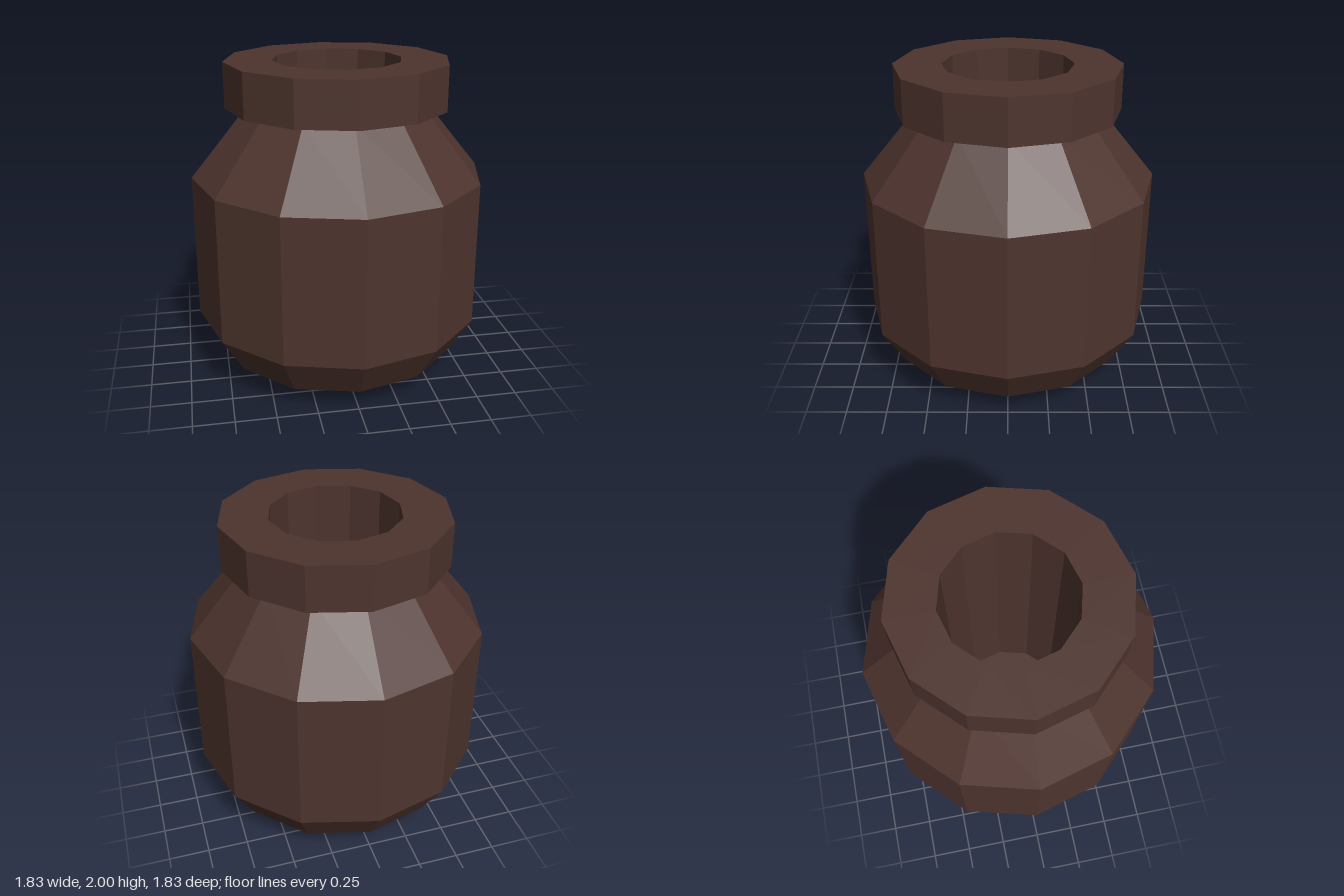
import * as THREE from 'three';

const SIDES = 12;

export function createModel() {
  const group = new THREE.Group();
  group.name = 'jar';
  const clay = new THREE.MeshStandardMaterial({ color: 0x4e342e, flatShading: true });

  // Revolves a [radius, height] profile into a faceted part
  const addLathe = (name, profile) => {
    const points = profile.map(([r, y]) => new THREE.Vector2(r, y));
    const mesh = new THREE.Mesh(new THREE.LatheGeometry(points, SIDES), clay);
    mesh.name = name;
    group.add(mesh);
  };

  // Outer body: base, tapered foot, straight wall, sloping shoulder
  addLathe('body', [[0, 0], [0.42, 0], [0.765, 0.13], [0.917, 0.375], [0.917, 1.29], [0.565, 1.72]]);

  // Thick overhanging collar around the mouth
  addLathe('rim', [[0.565, 1.72], [0.695, 1.72], [0.695, 2], [0.4, 2]]);

  // Hollow inside, from the mouth down to the floor
  addLathe('interior', [[0.4, 2], [0.4, 0.13], [0, 0.13]]);

  return group;
}
